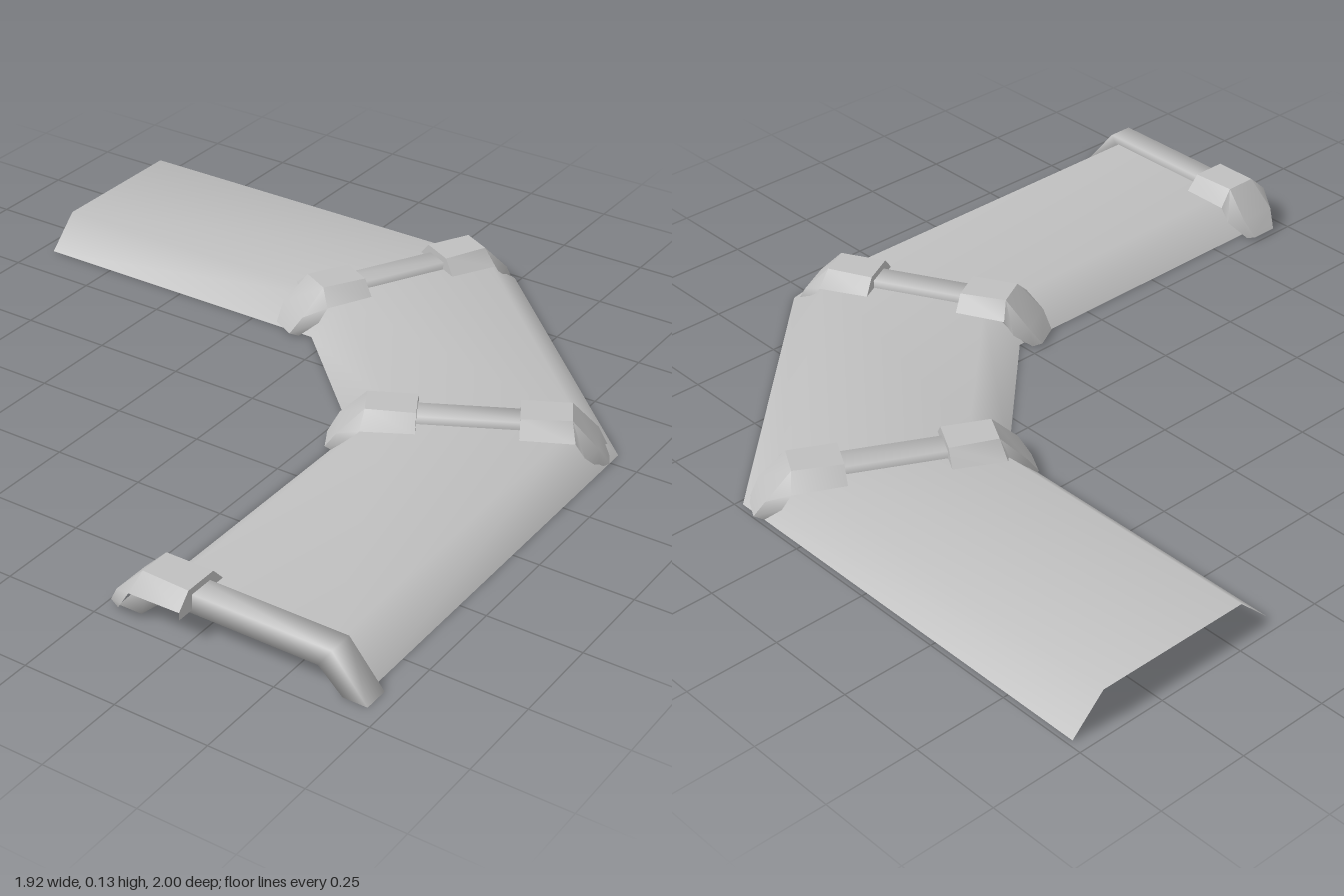
import * as THREE from 'three';
import { mergeVertices, toCreasedNormals } from 'three/addons/utils/BufferGeometryUtils.js';

const grey = new THREE.MeshStandardMaterial({ color: 0xbfbfbf, side: THREE.DoubleSide });
grey.name = 'plain grey';

// Skin open cross-sections that all have the same number of points
function loft(rows) {
  const n = rows[0].length, index = [];
  for (let i = 0; i < rows.length - 1; i++) {
    for (let j = 0; j < n - 1; j++) {
      const a = i * n + j, b = a + n;
      index.push(a, a + 1, b, a + 1, b + 1, b);
    }
  }
  const geo = new THREE.BufferGeometry();
  geo.setAttribute('position', new THREE.Float32BufferAttribute(rows.flat(2), 3));
  geo.setIndex(index);
  geo.computeVertexNormals();
  return geo;
}

function part(name, geo) {
  const mesh = new THREE.Mesh(geo, grey);
  mesh.name = name;
  return mesh;
}

// Bent sheet: flat top with sloping sides, mitred at the two joints
function shellGeometry() {
  const stations = [ // outer x, z, inner x, z at the ground
    [-0.96, -0.985, -0.96, -0.365],
    [0.235, -0.985, -0.055, -0.365],
    [0.925, -0.295, 0.31, 0],
    [0.93, 0.91, 0.31, 0.91],
  ];
  const profile = [[0, 0], [0.15, 0.09], [0.85, 0.09], [1, 0]]; // across, height
  return loft(stations.map(([ox, oz, ix, iz]) =>
    profile.map(([t, y]) => [ox + (ix - ox) * t, y, oz + (iz - oz) * t])));
}

// Frame band that straddles the sheet
function ribGeometry() {
  const shape = new THREE.Shape([
    [-0.34, 0], [-0.245, 0.112], [0.245, 0.112], [0.34, 0],
    [0.275, 0], [0.21, 0.06], [-0.21, 0.06], [-0.275, 0],
  ].map(([x, y]) => new THREE.Vector2(x, y)));
  const geo = new THREE.ExtrudeGeometry(shape, { depth: 0.07, bevelEnabled: false });
  geo.translate(0, 0, -0.035);
  geo.deleteAttribute('uv');
  geo.deleteAttribute('normal');
  const smooth = mergeVertices(geo);
  smooth.computeVertexNormals();
  return smooth;
}

// Faceted cap over a rib end, tip towards -x
function capGeometry() {
  const rows = [ // side: x, y, half width; crown: x, y, half width
    [0.23, 0.07, 0.085, 0.23, 0.07, 0.05],
    [0.23, 0.09, 0.085, 0.23, 0.13, 0.048],
    [0.09, 0.09, 0.088, 0.1, 0.132, 0.045],
    [0.065, 0.05, 0.085, 0.03, 0.06, 0.055],
    [0.025, 0, 0.045, 0, 0.01, 0.038],
  ].map(([sx, sy, sw, cx, cy, cw]) =>
    [[sx, sy, -sw], [cx, cy, -cw], [cx, cy, cw], [sx, sy, sw]]);
  return toCreasedNormals(loft(rows), 0.75);
}

export function createModel() {
  const model = new THREE.Group();
  model.name = 'armourPlate';
  model.add(part('bentShell', shellGeometry()));

  const rib = ribGeometry(), cap = capGeometry();
  const frames = [ // name, x, z, turn in degrees, has outer cap
    ['firstJoint', 0.03, -0.668, 62, true],
    ['secondJoint', 0.597, -0.097, 28, true],
    ['endFrame', 0.62, 0.91, 0, false],
  ];
  for (const [name, x, z, turn, outer] of frames) {
    const frame = new THREE.Group();
    frame.name = name;
    frame.position.set(x, 0, z);
    frame.rotation.y = THREE.MathUtils.degToRad(turn);
    frame.add(part('rib', rib));
    const inner = part('innerCap', cap);
    inner.position.x = -0.36;
    frame.add(inner);
    if (outer) {
      const end = part('outerCap', cap);
      end.position.x = 0.36;
      end.rotation.y = Math.PI;
      frame.add(end);
    }
    model.add(frame);
  }
  return model;
}
